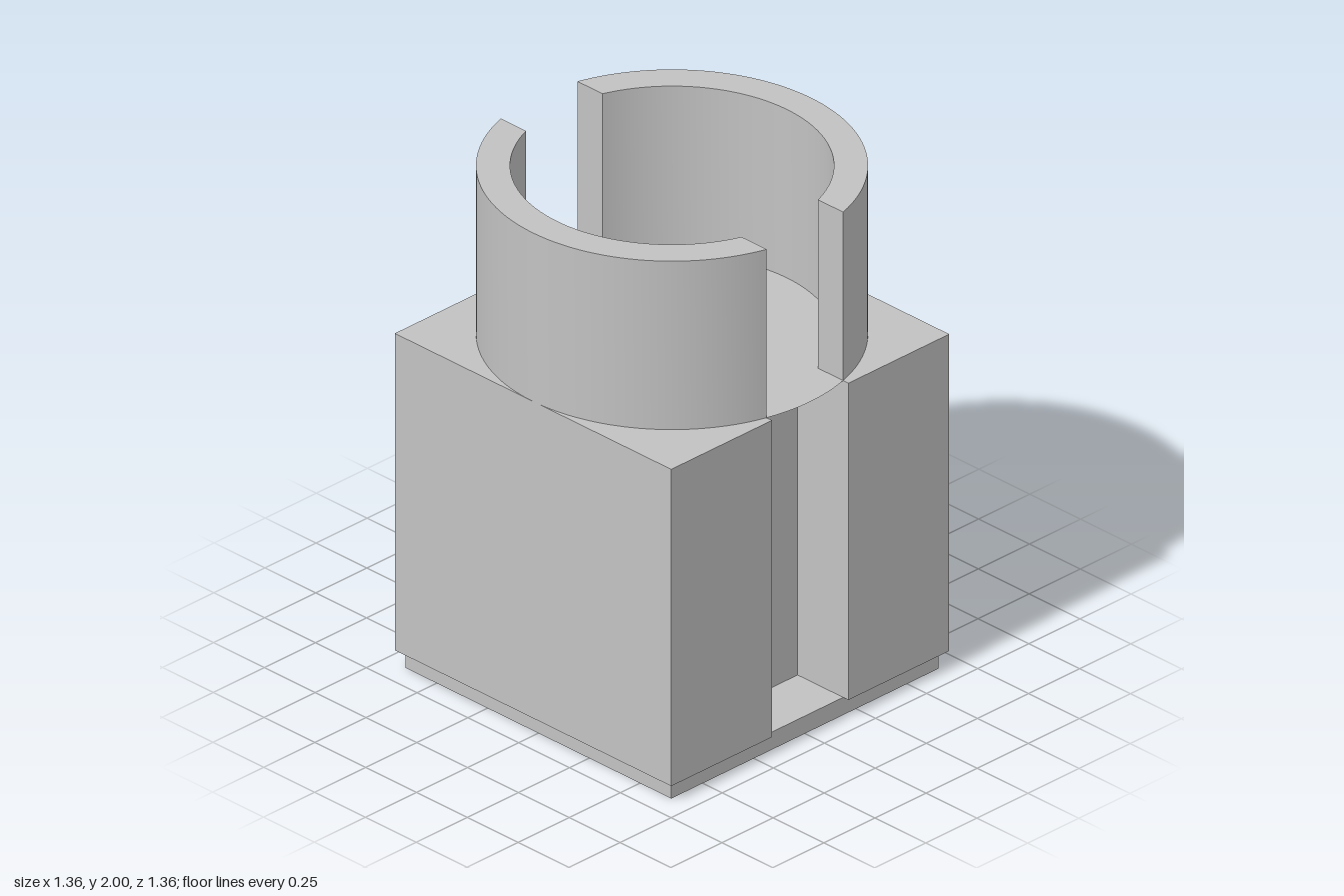
import * as THREE from 'three';
import { toCreasedNormals } from 'three/addons/utils/BufferGeometryUtils.js';

const HALF = 0.68;        // body half width and outer collar radius
const INNER = 0.562;      // inner collar radius
const SLOT = 0.187;       // slot half width
const SLOT_BACK = 0.43;   // z of the slot's back wall
const BASE_TOP = 0.07, BODY_TOP = 1.33, TOP = 2;

// Extrude a plan shape (x, -z) upward between two heights
function extrudeUp(shape, y0, y1) {
  const geo = new THREE.ExtrudeGeometry(shape, { depth: y1 - y0, bevelEnabled: false, curveSegments: 48 });
  geo.rotateX(-Math.PI / 2).translate(0, y0, 0);
  return toCreasedNormals(geo, 0.5);
}

export function createModel() {
  const group = new THREE.Group();
  const grey = new THREE.MeshStandardMaterial({ color: 0xc2c2c2 });
  grey.name = 'light grey';
  grey.side = THREE.DoubleSide;

  const add = (name, geo, turn = 0) => {
    const mesh = new THREE.Mesh(geo, grey);
    mesh.name = name;
    mesh.rotation.y = turn;
    group.add(mesh);
  };

  // Recessed foot plate
  add('basePlate', new THREE.BoxGeometry(1.308, BASE_TOP, 1.308).translate(0, BASE_TOP / 2, 0));

  // Square body with a vertical channel in front and back
  const plan = new THREE.Shape([
    [-HALF, -HALF], [-SLOT, -HALF], [-SLOT, -SLOT_BACK], [SLOT, -SLOT_BACK], [SLOT, -HALF], [HALF, -HALF],
    [HALF, HALF], [SLOT, HALF], [SLOT, SLOT_BACK], [-SLOT, SLOT_BACK], [-SLOT, HALF], [-HALF, HALF],
  ].map(([x, y]) => new THREE.Vector2(x, y)));
  add('slottedBody', extrudeUp(plan, BASE_TOP, BODY_TOP));

  // Half collar whose ends are cut flat along the slot
  const a = Math.acos(SLOT / HALF), b = Math.acos(SLOT / INNER);
  const half = new THREE.Shape();
  half.absarc(0, 0, HALF, -a, a, false);
  half.absarc(0, 0, INNER, b, -b, true);
  half.closePath();
  const collar = extrudeUp(half, BODY_TOP, TOP);

  // Thin round-edged floor over each channel
  const lid = new THREE.Shape();
  lid.moveTo(-SLOT, SLOT_BACK);
  lid.lineTo(SLOT, SLOT_BACK);
  lid.absarc(0, 0, HALF, a, Math.PI - a, false);
  lid.closePath();
  const floor = new THREE.ShapeGeometry(lid, 16).rotateX(-Math.PI / 2).translate(0, BODY_TOP, 0);

  for (const [side, end, turn] of [['left', 'back', 0], ['right', 'front', Math.PI]]) {
    add(side + 'Collar', collar, turn);
    add(end + 'ChannelCover', floor, turn);
  }
  return group;
}
